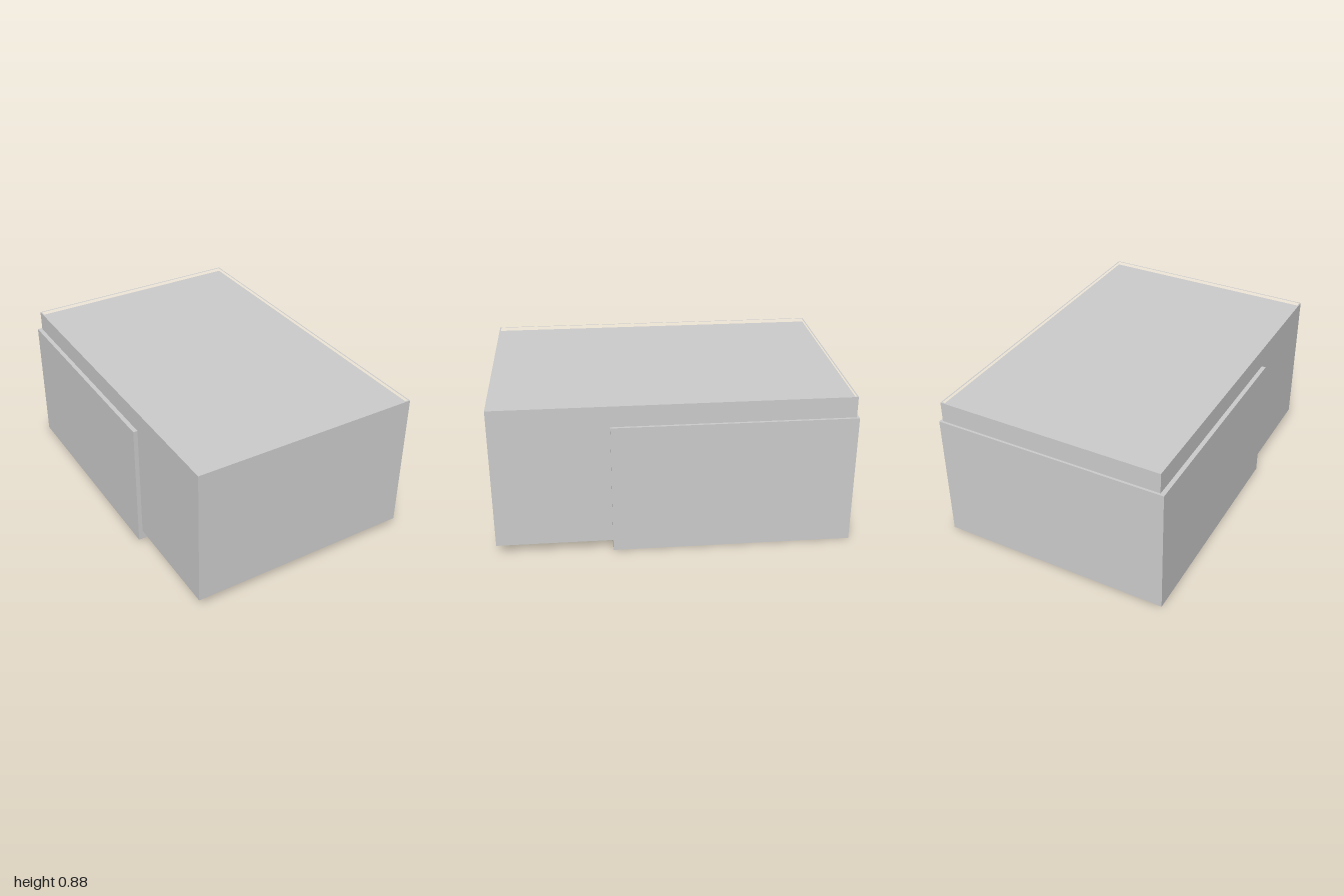
import * as THREE from 'three';

const material = new THREE.MeshStandardMaterial({ color: 0xcccccc, flatShading: true });

// Box given by its lower and upper corners
function block(name, [x0, y0, z0], [x1, y1, z1]) {
  const mesh = new THREE.Mesh(new THREE.BoxGeometry(x1 - x0, y1 - y0, z1 - z0), material);
  mesh.position.set((x0 + x1) / 2, (y0 + y1) / 2, (z0 + z1) / 2);
  mesh.name = name;
  return mesh;
}

// Rectangle in plan; z is negated because the extrusion is later laid flat
function rectangle(PathType, x0, z0, x1, z1) {
  const path = new PathType();
  path.moveTo(x0, -z0);
  path.lineTo(x1, -z0);
  path.lineTo(x1, -z1);
  path.lineTo(x0, -z1);
  path.closePath();
  return path;
}

export function createModel() {
  const model = new THREE.Group();
  model.name = 'slidingBox';

  // Wider, lower casing around the rear two thirds
  model.add(block('rearCasing', [-0.68, 0, -1], [0.68, 0.757, 0.35]));

  // Long inner box that projects forward
  const x0 = -0.655, x1 = 0.665, z0 = -0.987, z1 = 1;
  const panelY = 0.853, rimY = 0.877, rim = 0.008;
  model.add(block('innerBox', [x0, 0.057, z0], [x1, panelY, z1]));

  // Thin raised rim around the sunken top panel
  const outline = rectangle(THREE.Shape, x0, z0, x1, z1);
  outline.holes.push(rectangle(THREE.Path, x0 + rim, z0 + rim, x1 - rim, z1 - rim));
  const rimGeometry = new THREE.ExtrudeGeometry(outline, { depth: rimY - panelY, bevelEnabled: false });
  rimGeometry.rotateX(-Math.PI / 2);
  const topRim = new THREE.Mesh(rimGeometry, material);
  topRim.position.y = panelY;
  topRim.name = 'topRim';
  model.add(topRim);

  return model;
}
